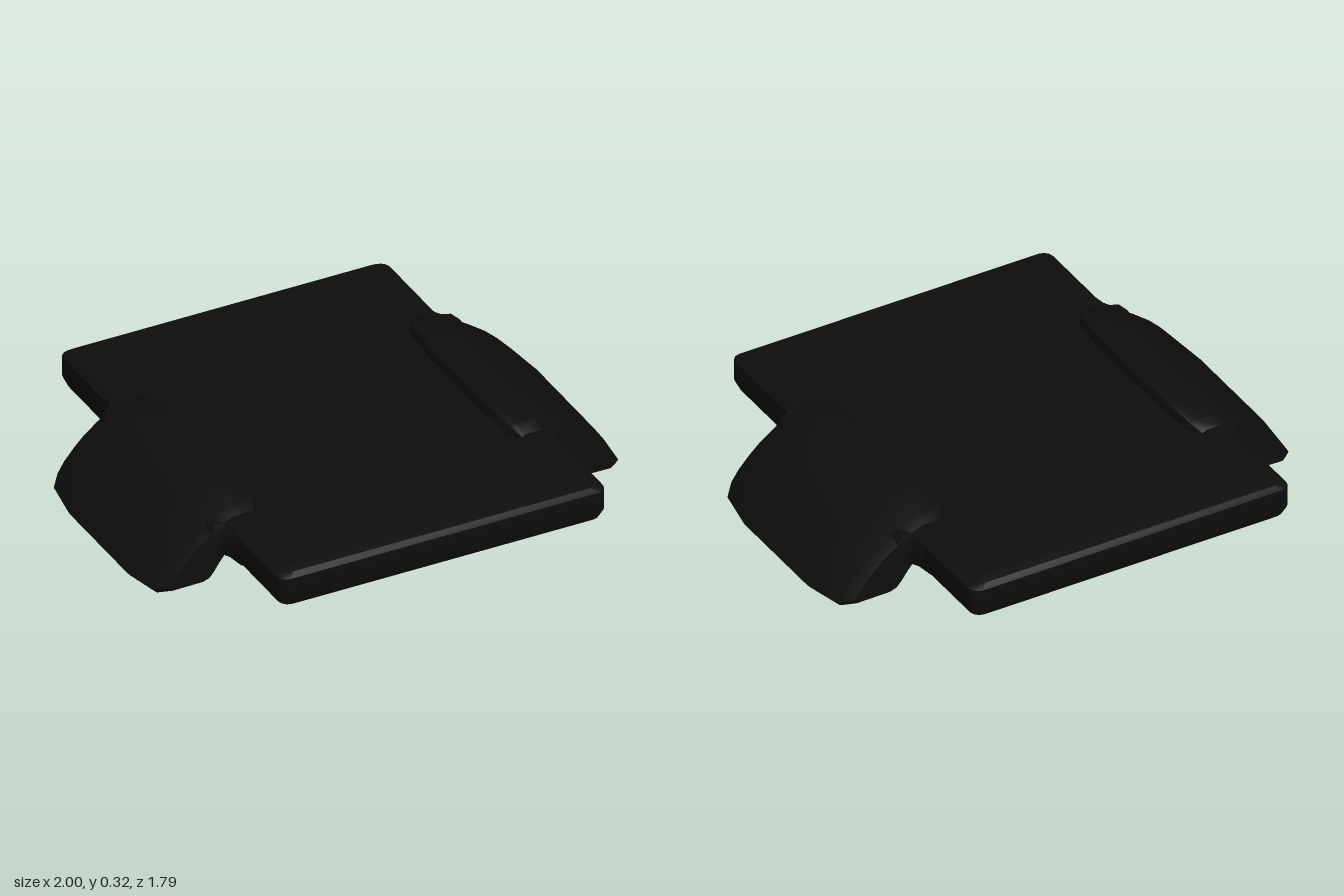
import * as THREE from 'three';
import { toCreasedNormals } from 'three/addons/utils/BufferGeometryUtils.js';

// Skin a series of equal-length rings; end caps are triangulated from 2D outlines.
function loft(rings, outline, flip) {
  const n = rings[0].length, pos = rings.flat(2), index = [];
  const face = (a, b, c) => index.push(...(flip ? [a, c, b] : [a, b, c]));
  for (let r = 0; r < rings.length - 1; r++) {
    for (let i = 0; i < n; i++) {
      const j = (i + 1) % n, a = r * n, b = a + n;
      face(a + i, a + j, b + j);
      face(a + i, b + j, b + i);
    }
  }
  const last = (rings.length - 1) * n;
  for (const [a, b, c] of THREE.ShapeUtils.triangulateShape(outline, [])) {
    face(a, c, b);
    face(last + a, last + b, last + c);
  }
  const g = new THREE.BufferGeometry();
  g.setAttribute('position', new THREE.Float32BufferAttribute(pos, 3));
  g.setIndex(index);
  return toCreasedNormals(g, 0.6);
}

// Counter-clockwise rounded rectangle of half sizes w, d.
function roundedOutline(w, d, r) {
  const pts = [];
  [[1, 1], [-1, 1], [-1, -1], [1, -1]].forEach(([sx, sy], q) => {
    for (let k = 0; k <= 3; k++) {
      const a = (q + k / 3) * Math.PI / 2;
      pts.push(new THREE.Vector2(sx * (w - r) + r * Math.cos(a), sy * (d - r) + r * Math.sin(a)));
    }
  });
  return pts;
}

// Flat slab with bevelled underside and a faint inset on top: [inset, height]
function plateGeometry() {
  const levels = [[0.045, 0.125], [0.015, 0.14], [0, 0.175], [0, 0.262], [0.02, 0.278], [0.09, 0.28], [0.115, 0.275]];
  const rings = levels.map(([s, y]) =>
    roundedOutline(0.685 - s, 0.895 - s, 0.04).map(p => [p.x - 0.013, y, -p.y]));
  return loft(rings, roundedOutline(0.6, 0.8, 0.04), false);
}

// Side profile of a curved lug, counter-clockwise, for the +x side
const lugProfile = [
  [0.535, 0.2], [0.65, 0.14], [0.7, 0.127], [0.73, 0.09], [0.76, 0.045], [0.785, 0.015], [0.82, 0.002],
  [0.985, 0], [1, 0.018], [0.965, 0.075], [0.91, 0.14], [0.86, 0.19], [0.79, 0.245],
  [0.71, 0.3], [0.655, 0.325], [0.56, 0.325], [0.54, 0.315], [0.53, 0.28]
];
// The plate sits slightly off centre, so the roots shift while the tips stay.
const shift = (x, side) => side > 0 ? x - 0.03 * Math.min(1, Math.max(0, (1 - x) / 0.3)) : x;

function lugGeometry(side) {
  const stations = [[-0.45, 0.78], [-0.4, 0.92], [-0.23, 1], [0.23, 1], [0.4, 0.92], [0.45, 0.78]];
  const rings = stations.map(([z, k]) => lugProfile.map(([x, y]) =>
    [side * shift(0.7 + (x - 0.7) * k, side), 0.17 + (y - 0.17) * k, z]));
  return loft(rings, lugProfile.map(p => new THREE.Vector2(...p)), side < 0);
}

// Small web easing the lug into the plate edge
function filletGeometry(side) {
  const pts = [[0.6, 0.4], [0.77, 0.4], [0.76, 0.447], [0.725, 0.46], [0.71, 0.485], [0.698, 0.56], [0.6, 0.5]];
  const outline = pts.map(p => new THREE.Vector2(p[0], p[1]));
  const ring = (y, k, sz) => pts.map(([x, z]) =>
    [side * shift(0.6 + (x - 0.6) * k, side), y, sz * z]);
  return [1, -1].map(sz =>
    loft([ring(0.14, 0.9, sz), ring(0.175, 1, sz), ring(0.24, 1, sz), ring(0.272, 0.88, sz)], outline, side * sz > 0));
}

export function createModel() {
  const black = new THREE.MeshStandardMaterial({ color: 0x0e0e0e });
  black.name = 'matte black';
  const model = new THREE.Group();
  model.name = 'bracketPlate';
  const add = (geometry, name) => {
    const mesh = new THREE.Mesh(geometry, black);
    mesh.name = name;
    model.add(mesh);
  };

  add(plateGeometry(), 'plate');
  for (const side of [1, -1]) {
    const label = side > 0 ? 'left' : 'right';
    add(lugGeometry(side), label + 'Lug');
    filletGeometry(side).forEach((g, i) => add(g, label + (i ? 'Back' : 'Front') + 'Fillet'));
  }
  return model;
}
